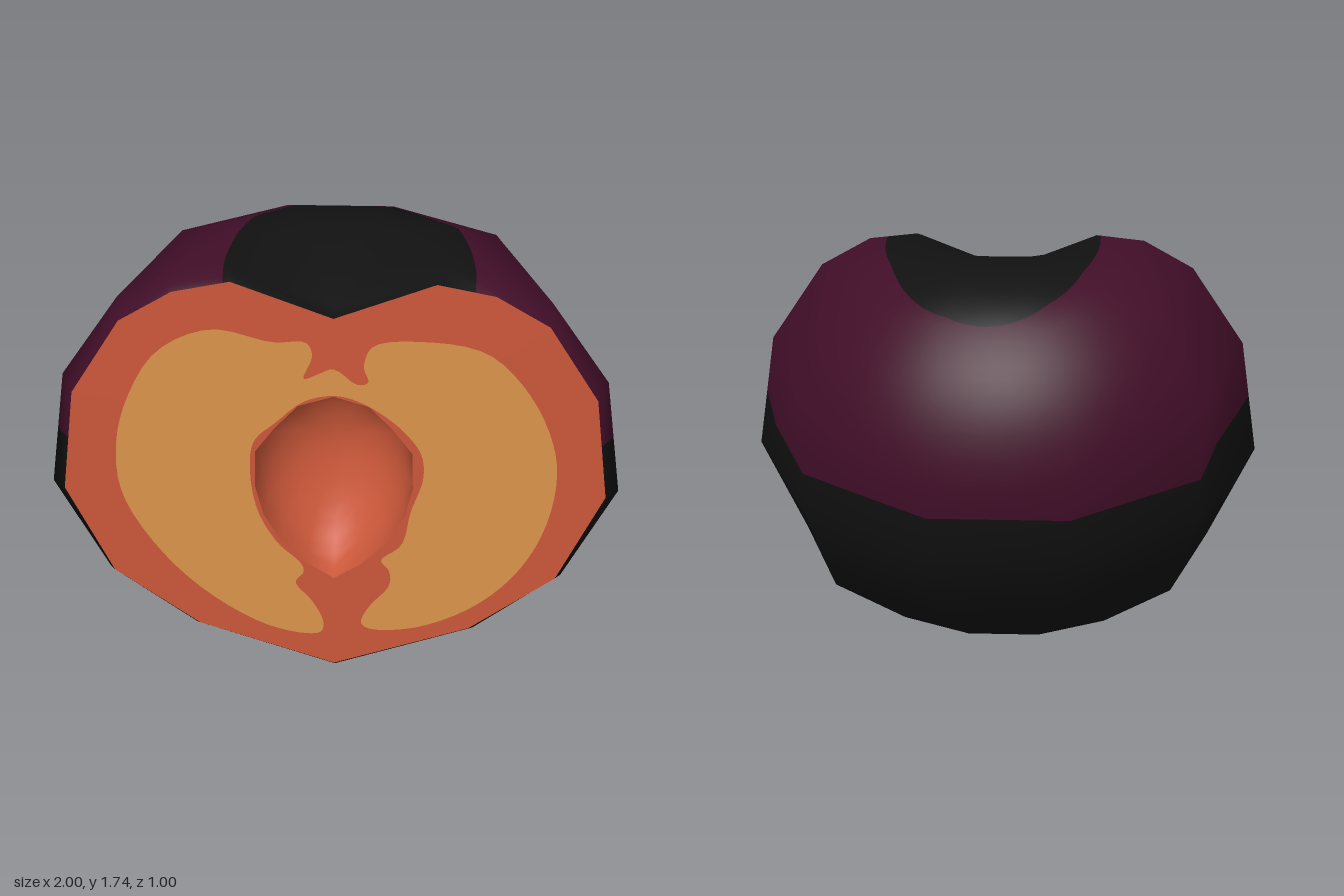
import * as THREE from 'three';
import { mergeVertices } from 'three/addons/utils/BufferGeometryUtils.js';

const FRONT = 0.5, RIM = 0.43;

// Rows from bottom to top: height, half width, depth, cut edge x, cut edge y
const ROWS = [
  [0, 0, 0, 0, 0.07], [0.2, 0.52, 0.38, 0.5, 0.26], [0.47, 0.83, 0.69, 0.8, 0.51],
  [0.86, 1, 0.91, 0.945, 0.88], [1.31, 0.92, 0.93, 0.88, 1.28], [1.61, 0.71, 0.7, 0.7, 1.56],
  [1.715, 0.52, 0.47, 0.52, 1.67], [1.735, 0.34, 0.29, 0.33, 1.71], [1.58, 0, 0, 0, 1.58],
];

// Half of the stone hollow outline, top to bottom
const HOLLOW = [[0, 1.28], [0.12, 1.24], [0.2, 1.15], [0.27, 1.05], [0.275, 0.9], [0.25, 0.78], [0.19, 0.66], [0.1, 0.56], [0, 0.49]];

// Outline of the pale flesh, an arch around the hollow
const PALE = [
  [-0.1, 0.22], [-0.25, 0.26], [-0.45, 0.4], [-0.62, 0.6], [-0.74, 0.85], [-0.75, 1.05], [-0.7, 1.25],
  [-0.58, 1.45], [-0.4, 1.535], [-0.2, 1.49], [-0.09, 1.49], [-0.07, 1.44], [-0.1, 1.35], [-0.05, 1.37],
  [0, 1.39], [0.08, 1.33], [0.115, 1.34], [0.1, 1.4], [0.13, 1.48], [0.3, 1.5], [0.5, 1.46], [0.64, 1.32],
  [0.74, 1.12], [0.77, 0.95], [0.74, 0.72], [0.65, 0.52], [0.5, 0.36], [0.3, 0.26], [0.13, 0.25],
  [0.1, 0.28], [0.13, 0.36], [0.2, 0.46], [0.2, 0.53], [0.17, 0.58], [0.24, 0.65], [0.27, 0.8],
  [0.31, 0.95], [0.3, 1.05], [0.25, 1.13], [0.18, 1.2], [0.08, 1.265], [0, 1.285], [-0.1, 1.26],
  [-0.2, 1.17], [-0.27, 1.1], [-0.29, 1], [-0.27, 0.8], [-0.2, 0.65], [-0.12, 0.56], [-0.11, 0.52],
  [-0.14, 0.47], [-0.08, 0.38], [-0.04, 0.28], [-0.05, 0.23],
];

function indexed(positions, index) {
  const g = new THREE.BufferGeometry();
  g.setAttribute('position', new THREE.Float32BufferAttribute(positions, 3));
  g.setIndex(index);
  return g;
}

// Index for a grid of quads
function gridIndex(rows, cols, wrap) {
  const index = [];
  for (let i = 0; i < rows - 1; i++) {
    for (let j = 0; j < (wrap ? cols : cols - 1); j++) {
      const k = (j + 1) % cols;
      const a = i * cols + j, b = i * cols + k, c = b + cols, d = a + cols;
      index.push(a, b, c, a, c, d);
    }
  }
  return index;
}

// Half fruit skin: bevelled cut edge, then five broad facets round the back
function skinSurface() {
  const pos = [];
  for (const [y, rx, rz, xi, yi] of ROWS) {
    const x1 = Math.min(0.72, 0.78 * rx), x2 = Math.min(0.25, 0.27 * rx);
    pos.push(xi, yi, FRONT, rx, y, RIM, x1, y, RIM - 0.69 * rz, x2, y, RIM - rz);
    pos.push(-x2, y, RIM - rz, -x1, y, RIM - 0.69 * rz, -rx, y, RIM, -xi, yi, FRONT);
  }
  const g = mergeVertices(indexed(pos, gridIndex(ROWS.length, 8, false)));
  g.computeVertexNormals();
  return g.toNonIndexed();
}

// Positive in the purple band, negative on the dark base and around the stem dimple
function band([x, y, z]) {
  const stem = Math.hypot((x - 0.05) / 0.405, (z - RIM) / 0.7) - 1;
  return Math.min(y - 1.04 - 0.11 * z, stem);
}

const mix = (a, b, t) => a.map((v, i) => v + (b[i] - v) * t);

// Keep the part of a polygon on one side of the colour border
function clip(poly, sign) {
  const out = [];
  poly.forEach((p, i) => {
    const q = poly[(i + 1) % poly.length], a = sign * band(p), b = sign * band(q);
    if (a >= 0) out.push(p);
    if ((a >= 0) !== (b >= 0)) out.push(mix(p, q, a / (a - b)));
  });
  return out;
}

function skinPart(surface, sign, n = 8) {
  const P = surface.attributes.position, N = surface.attributes.normal;
  const pos = [], nor = [];
  const corner = i => [P.getX(i), P.getY(i), P.getZ(i), N.getX(i), N.getY(i), N.getZ(i)];
  const add = (...tri) => {
    const poly = clip(tri, sign);
    for (let k = 1; k < poly.length - 1; k++) {
      for (const v of [poly[0], poly[k], poly[k + 1]]) {
        pos.push(...v.slice(0, 3));
        nor.push(...v.slice(3));
      }
    }
  };
  for (let t = 0; t < P.count; t += 3) {
    const [a, b, c] = [corner(t), corner(t + 1), corner(t + 2)];
    const at = (u, v) => a.map((s, i) => s + ((b[i] - s) * u + (c[i] - s) * v) / n);
    for (let u = 0; u < n; u++) {
      for (let v = 0; v < n - u; v++) {
        add(at(u, v), at(u + 1, v), at(u, v + 1));
        if (u + v < n - 1) add(at(u + 1, v), at(u + 1, v + 1), at(u, v + 1));
      }
    }
  }
  const g = new THREE.BufferGeometry();
  g.setAttribute('position', new THREE.Float32BufferAttribute(pos, 3));
  g.setAttribute('normal', new THREE.Float32BufferAttribute(nor, 3));
  g.normalizeNormals();
  return g;
}

// Mirror a half outline (x >= 0, end points on the axis) into a closed loop
const closeLoop = half => [...half, ...half.slice(1, -1).reverse().map(([x, y]) => [-x, y])]
  .map(([x, y]) => new THREE.Vector2(x, y));

// Bowl left by the stone, sinking back from the cut face
function hollowGeometry(loop) {
  const pos = [], steps = 8, cy = 0.92;
  for (let k = 0; k <= steps; k++) {
    const a = (k / steps) * Math.PI / 2, s = Math.cos(a);
    for (const p of loop) pos.push(p.x * s, cy + (p.y - cy) * s, FRONT - 0.26 * Math.sin(a));
  }
  const g = mergeVertices(indexed(pos, gridIndex(steps + 1, loop.length, true)));
  g.computeVertexNormals();
  return g;
}

export function createModel() {
  const group = new THREE.Group();
  group.name = 'halfFruit';
  const material = (name, color) => {
    const m = new THREE.MeshStandardMaterial({ color });
    m.name = name;
    return m;
  };
  const dark = material('darkSkin', 0x111111);
  const purple = material('purpleSkin', 0x410e28);
  const red = material('redFlesh', 0xcc583a);
  const pale = material('paleFlesh', 0xdb944a);
  const add = (name, geometry, mat) => {
    const mesh = new THREE.Mesh(geometry, mat);
    mesh.name = name;
    group.add(mesh);
    return mesh;
  };

  // Skin in its two colours
  const surface = skinSurface();
  add('purpleSkinBand', skinPart(surface, 1), purple);
  add('darkSkin', skinPart(surface, -1), dark);

  // Cut face with the hole for the stone
  const hollow = closeLoop(HOLLOW).reverse();
  const face = new THREE.Shape(closeLoop(ROWS.map(r => [r[3], r[4]])));
  face.holes.push(new THREE.Path(hollow));
  add('cutFace', new THREE.ShapeGeometry(face), red).position.z = FRONT;
  add('stoneHollow', hollowGeometry(hollow), red);

  // Pale flesh as a thin layer on the cut face
  const curve = new THREE.CatmullRomCurve3(PALE.map(([x, y]) => new THREE.Vector3(x, y, 0)), true);
  const outline = curve.getPoints(220).slice(0, -1).map(p => new THREE.Vector2(p.x, p.y));
  add('paleFlesh', new THREE.ShapeGeometry(new THREE.Shape(outline)), pale).position.z = FRONT + 0.003;

  return group;
}
